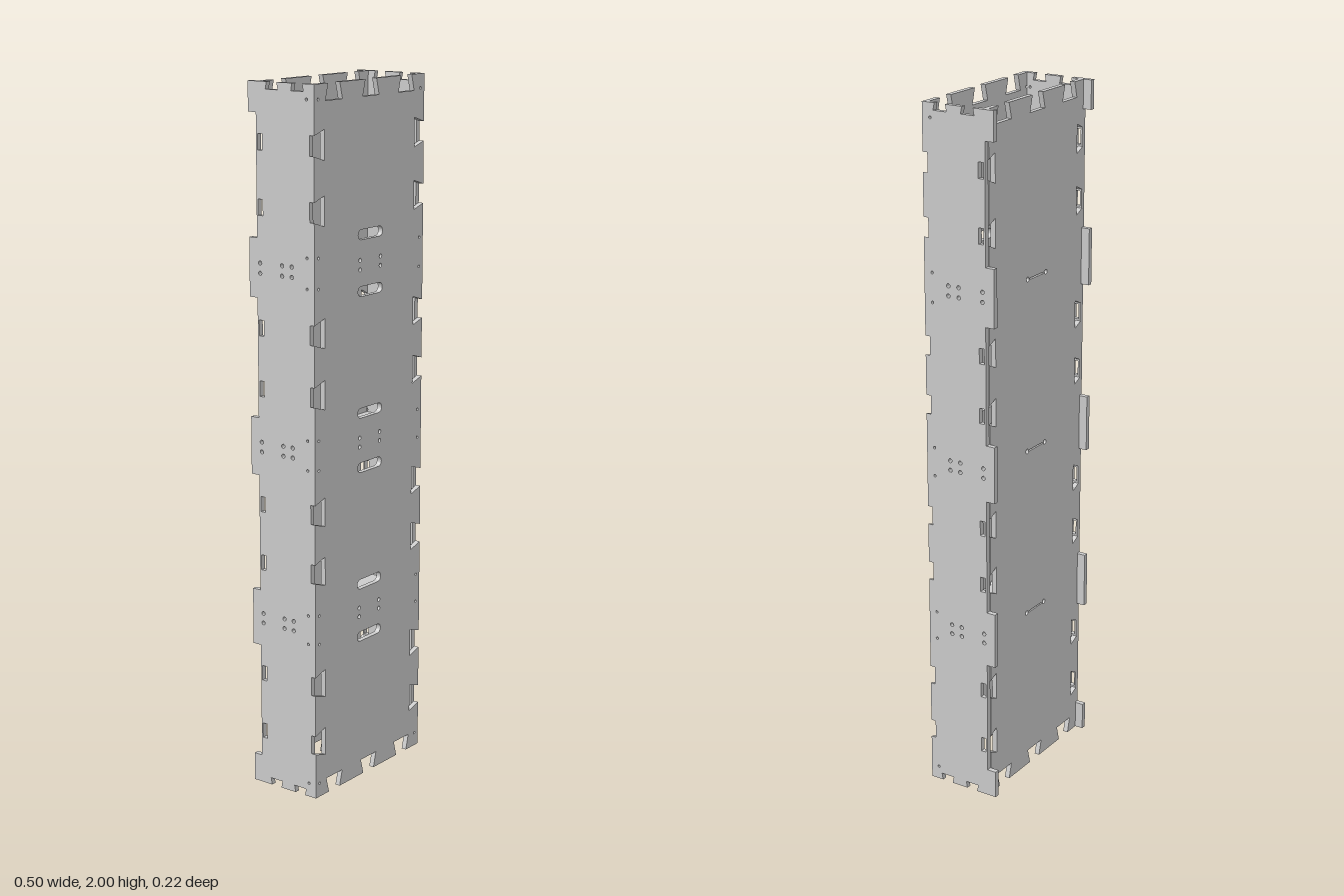
import * as THREE from 'three';

const T = 0.015; // sheet thickness
const LEVELS = [0.5, 1, 1.5];
const EDGE_Y = [0.16, 0.335, 0.665, 0.835, 1.165, 1.335, 1.665, 1.84];

const mat = new THREE.MeshStandardMaterial({ color: 0xcccccc, flatShading: true });

// Notch: centre p, half-width at the edge a, half-width at its floor b, depth d
const notch = (p, a, b, d) => ({ p, a, b, d });

// Rectangle with notches cut into each of its four edges
function outline(x0, x1, y0, y1, { bottom = [], right = [], top = [], left = [] }) {
  const pts = [];
  const edge = (list, sign, place) => {
    [...list].sort((m, n) => sign * (m.p - n.p)).forEach(({ p, a, b, d }) => {
      pts.push(place(p - sign * a, 0), place(p - sign * b, d), place(p + sign * b, d), place(p + sign * a, 0));
    });
  };
  const v = (x, y) => new THREE.Vector2(x, y);
  pts.push(v(x0, y0));
  edge(bottom, 1, (p, d) => v(p, y0 + d));
  pts.push(v(x1, y0));
  edge(right, 1, (p, d) => v(x1 - d, p));
  pts.push(v(x1, y1));
  edge(top, -1, (p, d) => v(p, y1 - d));
  pts.push(v(x0, y1));
  edge(left, -1, (p, d) => v(x0 + d, p));
  return new THREE.Shape(pts);
}

// Horizontal slot with round ends; a half-length of r makes a plain round hole
function slot(x, y, half, r) {
  const p = new THREE.Path();
  const c = half - r;
  p.absarc(x + c, y, r, -Math.PI / 2, Math.PI / 2, false);
  p.absarc(x - c, y, r, Math.PI / 2, Math.PI * 1.5, false);
  p.closePath();
  return p;
}

const hole = (x, y, r) => new THREE.Path().absarc(x, y, r, 0, Math.PI * 2, false);

function rectHole(x0, x1, y0, y1) {
  return new THREE.Path([[x0, y0], [x1, y0], [x1, y1], [x0, y1], [x0, y0]].map(([x, y]) => new THREE.Vector2(x, y)));
}

function sheet(name, shape, holes = []) {
  shape.holes.push(...holes);
  const geo = new THREE.ExtrudeGeometry(shape, { depth: T, bevelEnabled: false, curveSegments: 6 });
  const mesh = new THREE.Mesh(geo, mat);
  mesh.name = name;
  return mesh;
}

// Small lacing holes along a long edge
function laceHoles(x) {
  const out = [];
  for (let i = 0; i < 24; i++) {
    const y = 0.04 + (i * 1.92) / 23;
    if (EDGE_Y.every((e) => Math.abs(e - y) > 0.05)) out.push(hole(x, y, 0.004));
  }
  return out;
}

export function createModel() {
  const group = new THREE.Group();
  group.name = 'panelBox';

  const endNotches = [-0.164, 0, 0.164].map((x) => notch(x, 0.025, 0.037, 0.045));
  const sideNotches = (d) => EDGE_Y.map((y) => notch(y, 0.027, 0.041, d));
  const ends = { top: endNotches, bottom: endNotches };

  // Front panel: dovetail edges, hand slots and tie holes
  const frontHoles = [...laceHoles(-0.232), ...laceHoles(0.232)];
  for (const y of LEVELS) {
    frontHoles.push(slot(0, y + 0.083, 0.056, 0.014), slot(0, y - 0.074, 0.056, 0.014));
    for (const x of [-0.047, 0.047])
      for (const dy of [-0.013, 0.013]) frontHoles.push(hole(x, y + dy, 0.006));
  }
  const front = sheet('frontPanel',
    outline(-0.25, 0.25, 0, 2, { ...ends, left: sideNotches(0.045), right: sideNotches(0.045) }), frontHoles);
  front.position.z = 0.095;
  group.add(front);

  // Back panel: set between the sides, with thin slots and round ends at each divider
  const backHoles = [];
  for (const y of LEVELS) {
    backHoles.push(slot(0, y, 0.036, 0.002));
    for (const x of [-0.046, 0.046]) backHoles.push(hole(x, y, 0.007));
  }
  const back = sheet('backPanel',
    outline(-0.235, 0.235, 0, 2, { ...ends, left: sideNotches(0.03), right: sideNotches(0.03) }), backHoles);
  back.position.z = -0.088;
  group.add(back);

  // Side panels: drawn in z and y, with long tabs left standing along the back edge
  for (const s of [1, -1]) {
    const holes = [...laceHoles(0.085)];
    for (const y of EDGE_Y) holes.push(rectHole(-0.081, -0.065, y - 0.022, y + 0.022));
    for (const y of LEVELS)
      for (const dy of [-0.014, 0.014])
        for (const z of [0.033, 0, -0.076]) holes.push(hole(z, y + dy, 0.006));
    const short = [notch(-0.032, 0.017, 0.021, 0.02), notch(0.054, 0.017, 0.021, 0.02)];
    const tabs = [0.25, 0.75, 1.25, 1.75].map((y) => notch(y, 0.168, 0.168, 0.027));
    const side = sheet(s > 0 ? 'leftPanel' : 'rightPanel',
      outline(-0.113, 0.095, 0, 2, { top: short, bottom: short, left: tabs }), holes);
    side.rotation.y = -Math.PI / 2;
    side.position.x = s > 0 ? 0.25 : -0.235;
    group.add(side);
  }

  // Horizontal dividers with small tie notches
  const tieX = [-0.055, 0.055].map((x) => notch(x, 0.006, 0.006, 0.007));
  const tieZ = [-0.037, 0.013].map((y) => notch(y, 0.006, 0.006, 0.007));
  for (const y of LEVELS) {
    const divider = sheet('divider',
      outline(-0.235, 0.235, -0.095, 0.073, { top: tieX, bottom: tieX, left: tieZ, right: tieZ }));
    divider.rotation.x = -Math.PI / 2;
    divider.position.y = y - T / 2;
    group.add(divider);
  }
  return group;
}
